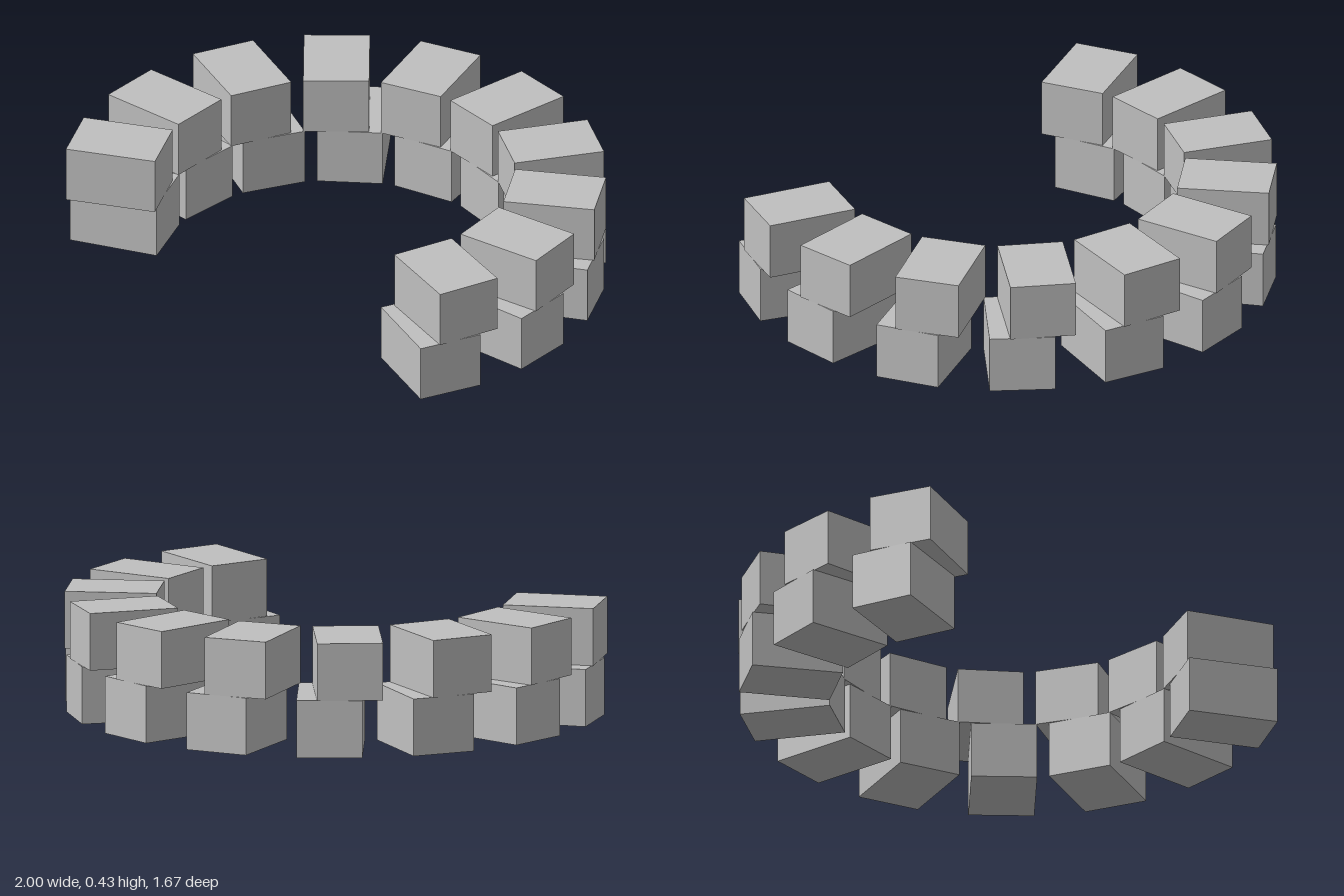
import * as THREE from 'three';

export function createModel() {
  const model = new THREE.Group();
  model.name = 'curvedBlockWall';
  const stone = new THREE.MeshStandardMaterial({ color: 0xc0c0c0 });
  stone.name = 'grey stone';

  const blocksPerCourse = 10;
  const radius = 0.823;
  const centreZ = 0.168;
  const height = 0.2145;
  const step = 24.95; // degrees between neighbouring blocks
  const block = new THREE.BoxGeometry(0.243, height, 0.34);

  // Each course is an arc of blocks; angle is measured from the back towards +x
  function addCourse(name, firstAngle, level) {
    const course = new THREE.Group();
    course.name = name;
    for (let i = 0; i < blocksPerCourse; i++) {
      const a = THREE.MathUtils.degToRad(firstAngle + i * step);
      const mesh = new THREE.Mesh(block, stone);
      mesh.name = `${name}Block${i + 1}`;
      mesh.position.set(Math.sin(a) * radius, (level + 0.5) * height, centreZ - Math.cos(a) * radius);
      mesh.rotation.y = -a;
      course.add(mesh);
    }
    model.add(course);
  }

  // The upper course is turned slightly against the lower one
  addCourse('lowerCourse', -99.8, 0);
  addCourse('upperCourse', -104.2, 1);
  return model;
}
